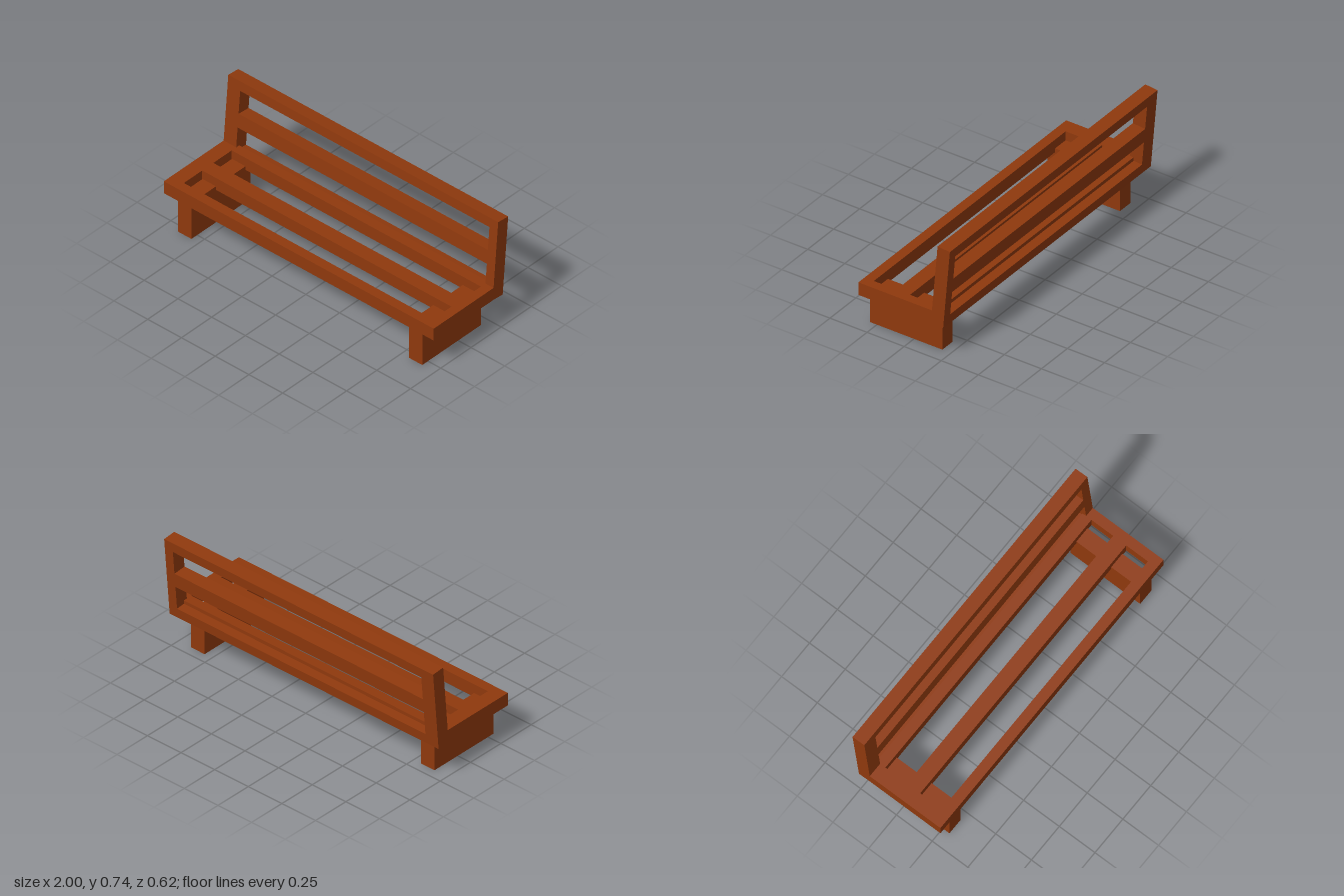
import * as THREE from 'three';

const THICK = 0.083;
const RAIL = 0.062, GAP = 0.152, SLAT = 0.092;
const HEIGHT = 2 * RAIL + 2 * GAP + SLAT;

function rect(Type, x0, x1, y0, y1) {
  const r = new Type();
  r.moveTo(x0, y0);
  r.lineTo(x1, y0);
  r.lineTo(x1, y1);
  r.lineTo(x0, y1);
  r.closePath();
  return r;
}

// Slatted frame with two long openings, its left end post slimmer than the right
function panelGeometry() {
  const shape = rect(THREE.Shape, -1, 1, 0, HEIGHT);
  for (const y of [RAIL, RAIL + GAP + SLAT]) {
    shape.holes.push(rect(THREE.Path, -0.907, 0.94, y, y + GAP));
  }
  return new THREE.ExtrudeGeometry(shape, { depth: THICK, bevelEnabled: false });
}

export function createModel() {
  const group = new THREE.Group();
  group.name = 'bench';
  const wood = new THREE.MeshStandardMaterial({ color: 0x8f390d });

  const add = (name, geometry, x, y, z) => {
    const mesh = new THREE.Mesh(geometry, wood);
    mesh.name = name;
    mesh.position.set(x, y, z);
    group.add(mesh);
    return mesh;
  };

  // Seat: panel laid flat, running from the front edge into the backrest
  add('seat', panelGeometry().rotateX(-Math.PI / 2), 0, 0.225, 0.308);

  // Backrest: same panel upright, leaning back five degrees
  const back = add('backrest', panelGeometry().translate(0, 0, -THICK), 0, 0.226, -0.18);
  back.rotation.x = THREE.MathUtils.degToRad(-5);

  // Block legs, their tops set a little into the seat
  for (const [name, side] of [['leftLeg', 1], ['rightLeg', -1]]) {
    add(name, new THREE.BoxGeometry(0.1, 0.25, 0.488), side * 0.855, 0.125, 0.053);
  }

  return group;
}
